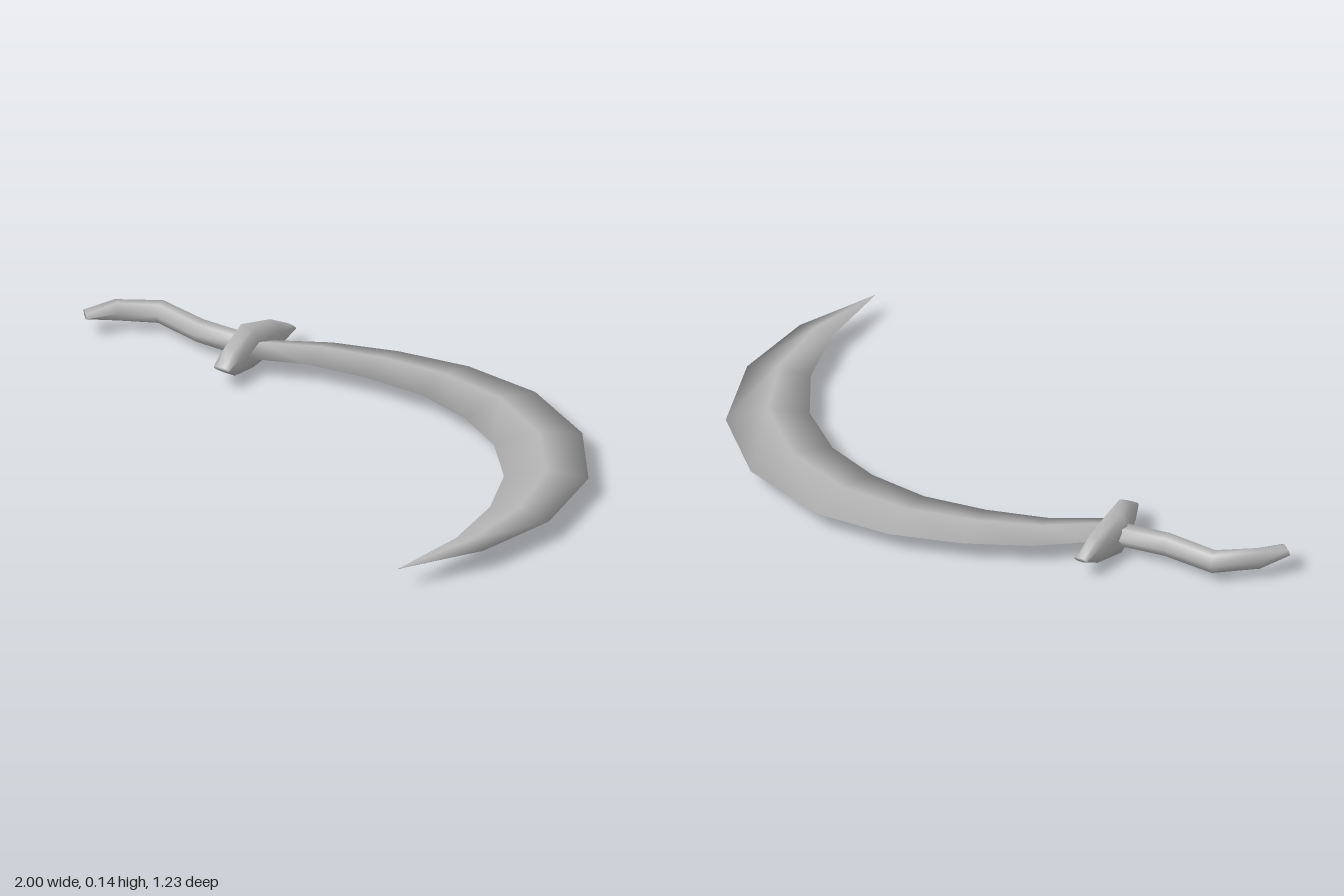
import * as THREE from 'three';

const MID = 0.0735; // height of the flat plane the sword lies in

// Skin a list of equal-length rings into a closed, smooth-shaded surface.
function loft(rings) {
  const n = rings[0].length, pos = [], idx = [];
  rings.forEach(r => r.forEach(p => pos.push(...p)));
  for (let i = 0; i < rings.length - 1; i++) {
    for (let j = 0; j < n; j++) {
      const a = i * n + j, b = i * n + (j + 1) % n;
      idx.push(a, b, b + n, a, b + n, a + n);
    }
  }
  const last = (rings.length - 1) * n;
  for (let j = 1; j < n - 1; j++) {
    idx.push(0, j + 1, j, last, last + j, last + j + 1);
  }
  // Turn the faces outward if the enclosed volume comes out negative
  const at = i => new THREE.Vector3().fromArray(pos, i * 3);
  let volume = 0;
  for (let i = 0; i < idx.length; i += 3) {
    volume += at(idx[i]).dot(at(idx[i + 1]).cross(at(idx[i + 2])));
  }
  if (volume < 0) idx.reverse();
  const g = new THREE.BufferGeometry();
  g.setAttribute('position', new THREE.Float32BufferAttribute(pos, 3));
  g.setIndex(idx);
  g.computeVertexNormals();
  return g;
}

// Ring spanning two outline points a, b (x, z) with half height h.
// The profile lists [across -1..1, up -1..1].
function ring([ax, az, bx, bz, h], profile) {
  return profile.map(([u, v]) => [
    (ax + bx) / 2 + (bx - ax) / 2 * u,
    MID + h * v,
    (az + bz) / 2 + (bz - az) / 2 * u,
  ]);
}

const diamond = [[-1, 0], [0, 1], [1, 0], [0, -1]];
const hexagon = [[-1, 0], [-0.5, 1], [0.5, 1], [1, 0], [0.5, -1], [-0.5, -1]];
const chamfered = [[-1, -0.36], [-1, 0.36], [-0.5, 1], [0.5, 1], [1, 0.36], [1, -0.36], [0.5, -1], [-0.5, -1]];

// Each row: outer x, outer z, inner x, inner z, half height
const bladeRows = [
  [-0.38, -0.43, -0.41, -0.275, 0.026],
  [-0.21, -0.52, -0.2, -0.355, 0.026],
  [0, -0.585, 0, -0.383, 0.026],
  [0.24, -0.622, 0.213, -0.383, 0.026],
  [0.51, -0.595, 0.41, -0.33, 0.026],
  [0.78, -0.45, 0.583, -0.233, 0.027],
  [0.957, -0.21, 0.72, -0.078, 0.027],
  [1, 0.095, 0.79, 0.115, 0.023],
  [0.925, 0.37, 0.807, 0.345, 0.015],
  [0.761, 0.612, 0.759, 0.612, 0.001],
];
const handleRows = [
  [-0.4, -0.395, -0.4, -0.318, 0.033],
  [-0.61, -0.395, -0.61, -0.32, 0.033],
  [-0.785, -0.43, -0.78, -0.36, 0.033],
  [-0.93, -0.345, -0.89, -0.31, 0.032],
  [-1, -0.275, -0.955, -0.224, 0.009],
];
const guardRows = [
  [-0.405, -0.542, -0.36, -0.535, 0.006],
  [-0.43, -0.47, -0.37, -0.465, 0.048],
  [-0.475, -0.355, -0.385, -0.355, 0.0725],
  [-0.458, -0.24, -0.385, -0.24, 0.048],
  [-0.445, -0.18, -0.388, -0.18, 0.006],
];

export function createModel() {
  const group = new THREE.Group();
  const steel = new THREE.MeshStandardMaterial({ color: 0xb8b8b8 });
  steel.name = 'grey steel';

  const add = (name, rows, profile) => {
    const mesh = new THREE.Mesh(loft(rows.map(r => ring(r, profile))), steel);
    mesh.name = name;
    group.add(mesh);
  };
  add('blade', bladeRows, diamond);
  add('handle', handleRows, hexagon);
  add('guard', guardRows, chamfered);
  return group;
}
